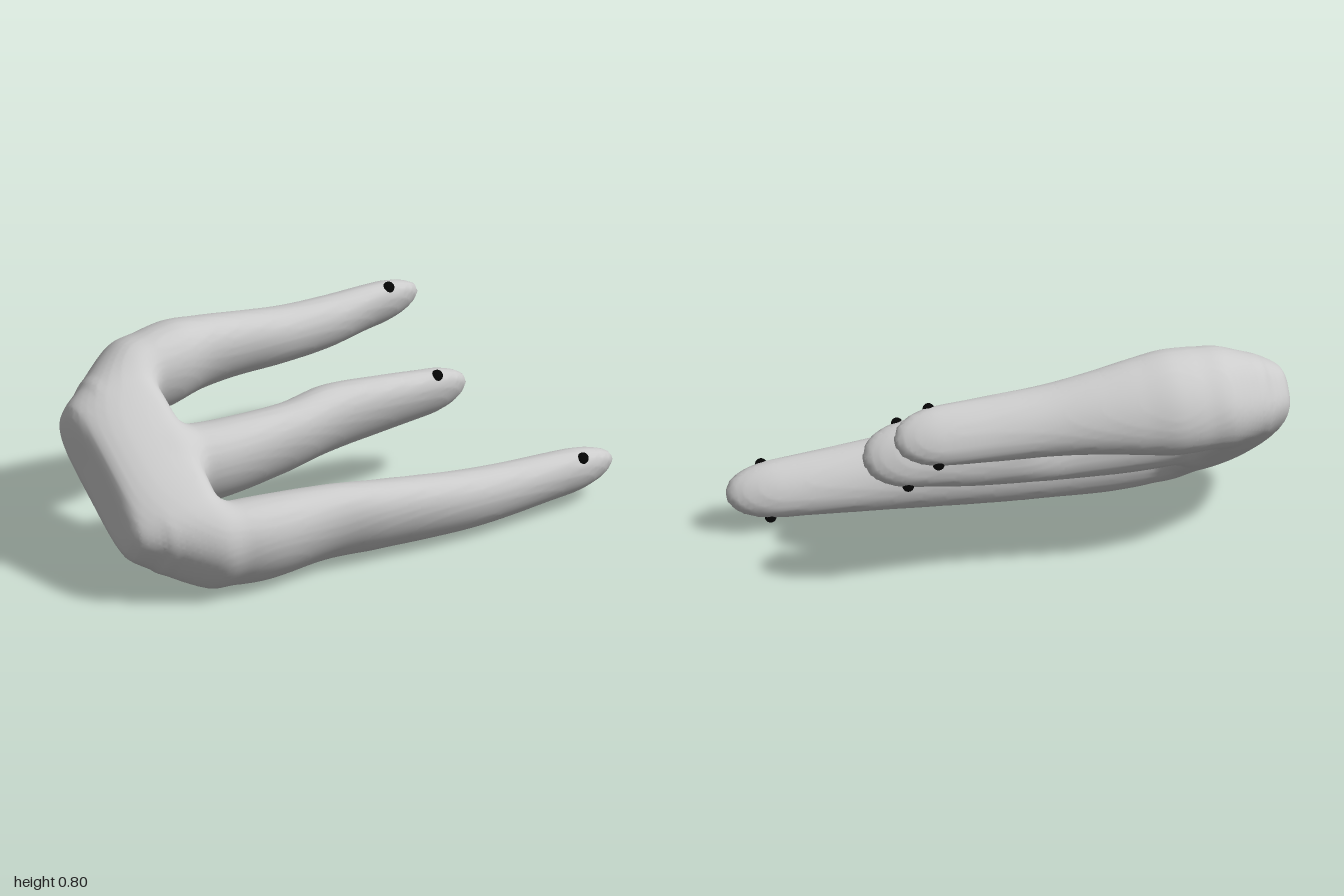
import * as THREE from 'three';

const TILT = 0.57; // the flat hand is rolled about its length
const STEP = 0.018;

// Stations along x. Fingers: [x, centre z, half width, half thickness]; palm: [x, half width, half thickness]
const FINGERS = [
  { name: 'longFinger', tip: 1.0, round: 0.2, dot: [0.84, 0.48], rows: [
    [-0.85, 0.30, 0.08, 0.11], [-0.7, 0.36, 0.13, 0.18], [-0.5, 0.39, 0.145, 0.2], [-0.2, 0.40, 0.12, 0.188],
    [0, 0.425, 0.113, 0.174], [0.4, 0.465, 0.1, 0.138], [0.8, 0.466, 0.077, 0.11], [1, 0.466, 0.065, 0.1]] },
  { name: 'middleFinger', tip: 0.6, round: 0.17, dot: [0.445, 0], rows: [
    [-0.85, 0, 0.1, 0.11], [-0.7, 0.01, 0.14, 0.17], [-0.5, 0.03, 0.135, 0.185], [-0.2, 0.02, 0.113, 0.178],
    [0, -0.01, 0.11, 0.17], [0.2, -0.01, 0.092, 0.155], [0.4, -0.005, 0.075, 0.13], [0.6, 0, 0.06, 0.11]] },
  { name: 'shortFinger', tip: 0.6, round: 0.17, dot: [0.445, -0.41], rows: [
    [-0.85, -0.30, 0.08, 0.11], [-0.7, -0.37, 0.13, 0.18], [-0.5, -0.405, 0.145, 0.2], [-0.35, -0.415, 0.122, 0.182],
    [-0.2, -0.41, 0.108, 0.158], [0, -0.395, 0.098, 0.135], [0.2, -0.395, 0.088, 0.125],
    [0.4, -0.41, 0.07, 0.115], [0.6, -0.415, 0.055, 0.1]] },
];
const PALM = [[-1, 0.31, 0.115], [-0.9, 0.375, 0.168], [-0.8, 0.445, 0.193], [-0.7, 0.495, 0.2], [-0.6, 0.53, 0.19]];

// Smooth interpolation of a station table at x
function sample(rows, x) {
  const n = rows.length - 1;
  if (x <= rows[0][0]) return rows[0];
  if (x >= rows[n][0]) return rows[n];
  let i = 0;
  while (x > rows[i + 1][0]) i++;
  const h = rows[i + 1][0] - rows[i][0], t = (x - rows[i][0]) / h;
  const slope = (j, k) => {
    const a = rows[Math.max(j - 1, 0)], b = rows[Math.min(j + 1, n)];
    return (b[k] - a[k]) / (b[0] - a[0]);
  };
  return rows[i].map((p, k) => {
    const q = rows[i + 1][k];
    return p + (q - p) * t * t * (3 - 2 * t)
      + h * t * (1 - t) * ((1 - t) * slope(i, k) - t * slope(i + 1, k));
  });
}

const smoothMin = (a, b, k) => {
  const h = Math.max(k - Math.abs(a - b), 0) / k;
  return Math.min(a, b) - h * h * k / 4;
};
const smoothMax = (a, b, k) => -smoothMin(-a, -b, k);

// Finger cross-section at x, rounded off towards the tip
function fingerSection(f, x) {
  const [, c, a, b] = sample(f.rows, x);
  const t = Math.min(Math.max((x - f.tip + f.round) / f.round, 0), 0.999);
  const s = Math.sqrt(1 - t * t);
  return { c, a: a * s, b: b * Math.pow(s, 0.8) };
}

// Returns the field of the slice at x: negative inside the hand
function slice(x) {
  const sections = FINGERS.map((f) => fingerSection(f, x));
  const [, pa, pb] = sample(PALM, x);
  return (y, z) => {
    let palm = (Math.cbrt(Math.abs(z / pa) ** 3 + Math.abs(y / pb) ** 3) - 1) * pb;
    palm = smoothMax(palm, x + 0.635, 0.08);
    let d = palm;
    sections.forEach((s, i) => {
      const e = (Math.hypot((z - s.c) / s.a, y / s.b) - 1) * Math.min(s.a, s.b);
      const f = FINGERS[i];
      d = smoothMin(d, Math.max(e, x - f.tip, f.rows[0][0] - x), 0.05);
    });
    // slightly hollow wrist face
    const wrist = -1 + 0.015 * Math.max(0, 1 - (z / 0.28) ** 2) - x;
    return smoothMax(d, wrist, 0.045);
  };
}

// Skins the field with one vertex per boundary cell
function skinGeometry() {
  const min = [-1.06, -0.29, -0.66], max = [1.06, 0.29, 0.66];
  const n = min.map((m, i) => Math.ceil((max[i] - m) / STEP) + 1);
  const stride = [n[1] * n[2], n[2], 1];
  const field = new Float32Array(n[0] * n[1] * n[2]);
  for (let i = 0, p = 0; i < n[0]; i++) {
    const f = slice(min[0] + i * STEP);
    for (let j = 0; j < n[1]; j++)
      for (let k = 0; k < n[2]; k++) field[p++] = f(min[1] + j * STEP, min[2] + k * STEP);
  }
  const corners = [...Array(8).keys()].map((c) => [c >> 2 & 1, c >> 1 & 1, c & 1]);
  const offset = corners.map((c) => c[0] * stride[0] + c[1] * stride[1] + c[2]);
  const ids = new Int32Array(field.length).fill(-1);
  const positions = [], index = [];
  const eachCell = (fn) => {
    for (let i = 1; i < n[0] - 1; i++)
      for (let j = 1; j < n[1] - 1; j++)
        for (let k = 1; k < n[2] - 1; k++) fn([i, j, k], i * stride[0] + j * stride[1] + k);
  };
  eachCell((cell, p) => {
    const sum = [0, 0, 0];
    let count = 0;
    for (let c = 0; c < 8; c++) for (let bit = 1; bit < 8; bit <<= 1) {
      if (c & bit) continue;
      const a = field[p + offset[c]], b = field[p + offset[c | bit]];
      if (a < 0 === b < 0) continue;
      const t = a / (a - b);
      for (let m = 0; m < 3; m++) sum[m] += corners[c][m] + t * (corners[c | bit][m] - corners[c][m]);
      count++;
    }
    if (!count) return;
    ids[p] = positions.length / 3;
    for (let m = 0; m < 3; m++) positions.push(min[m] + (cell[m] + sum[m] / count) * STEP);
  });
  eachCell((cell, p) => {
    for (let m = 0; m < 3; m++) {
      const inside = field[p] < 0;
      if (inside === field[p + stride[m]] < 0) continue;
      const u = stride[(m + 1) % 3], v = stride[(m + 2) % 3];
      const q = [ids[p], ids[p - u], ids[p - u - v], ids[p - v]];
      if (!inside) q.reverse();
      index.push(q[0], q[1], q[2], q[0], q[2], q[3]);
    }
  });
  const geometry = new THREE.BufferGeometry();
  geometry.setAttribute('position', new THREE.Float32BufferAttribute(positions, 3));
  geometry.setIndex(index);
  geometry.computeVertexNormals();
  return geometry;
}

export function createModel() {
  const model = new THREE.Group();
  const hand = new THREE.Group();
  hand.name = 'threeFingeredHand';
  hand.rotation.x = TILT;
  model.add(hand);

  // Palm and fingers in one smooth skin
  const skin = new THREE.Mesh(skinGeometry(), new THREE.MeshStandardMaterial({ color: 0xcccccc }));
  skin.name = 'palmAndFingers';
  hand.add(skin);

  // A pair of black dots near each fingertip, one on either face
  const black = new THREE.MeshStandardMaterial({ color: 0x050505 });
  const dotGeometry = new THREE.SphereGeometry(0.022, 20, 14);
  for (const f of FINGERS) {
    const [x, z] = f.dot;
    const { b } = fingerSection(f, x);
    for (const side of [1, -1]) {
      const dot = new THREE.Mesh(dotGeometry, black);
      dot.name = f.name + (side > 0 ? 'UpperDot' : 'LowerDot');
      dot.position.set(x, side * (b - 0.006), z);
      hand.add(dot);
    }
  }

  // Stand on the ground, centred
  const box = new THREE.Box3().setFromObject(model, true);
  hand.position.set(-(box.min.x + box.max.x) / 2, -box.min.y, -(box.min.z + box.max.z) / 2);
  return model;
}
